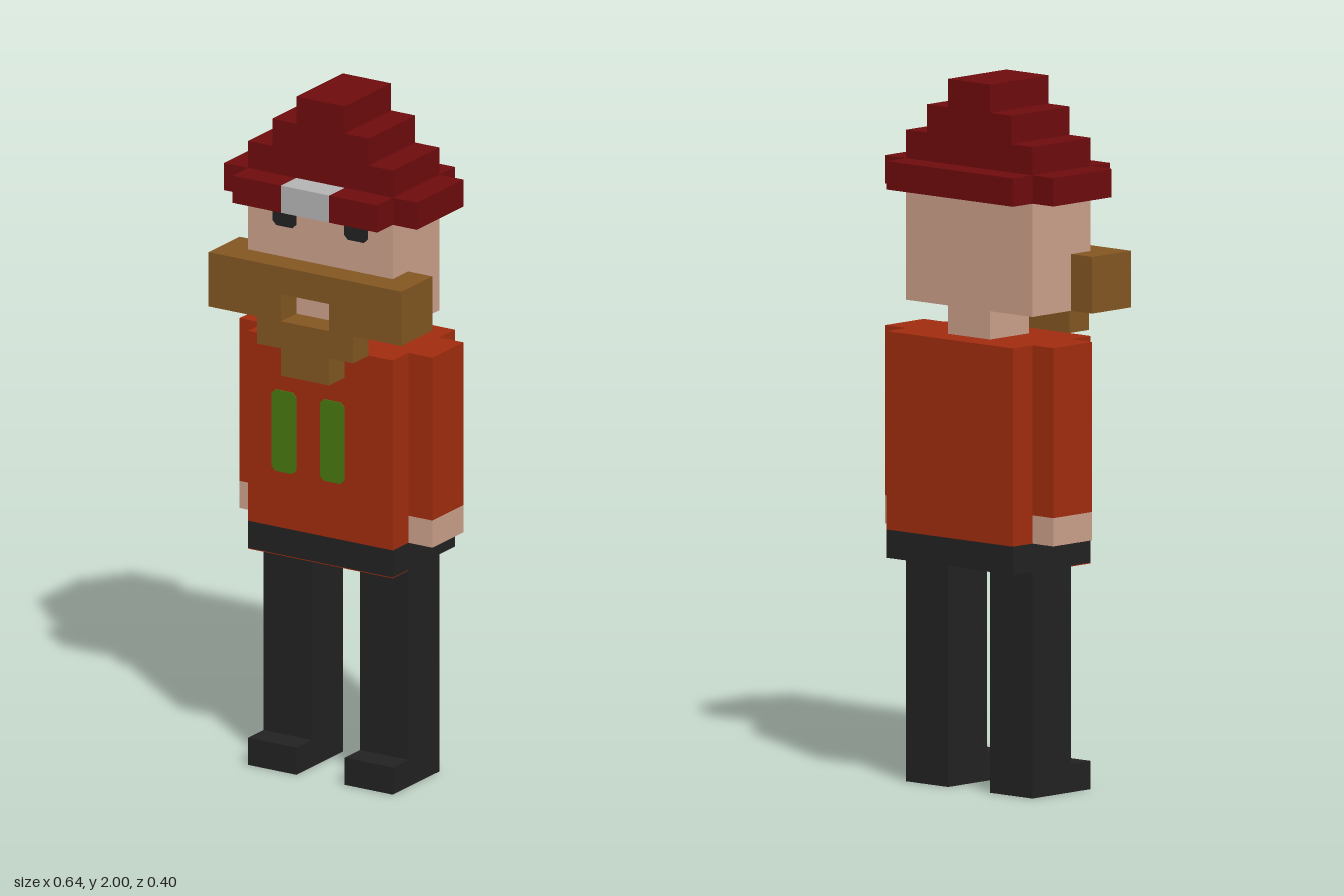
import * as THREE from 'three';

const U = 0.08; // one block

const material = (name, color) => {
  const m = new THREE.MeshStandardMaterial({ color });
  m.name = name;
  return m;
};

export function createModel() {
  const model = new THREE.Group();
  model.name = 'blockMan';
  const hatRed = material('hatRed', 0x6e0b0d);
  const skin = material('skin', 0xcb9f8a);
  const beardBrown = material('beardBrown', 0x825622);
  const sweaterOrange = material('sweaterOrange', 0xa02c0e);
  const trouserBlack = material('trouserBlack', 0x222222);
  const badgeGrey = material('badgeGrey', 0xb3b3b3);
  const stripeGreen = material('stripeGreen', 0x47770f);

  // Box given by its two corners, in blocks
  function box(name, mat, [x0, x1], [y0, y1], [z0, z1]) {
    const mesh = new THREE.Mesh(new THREE.BoxGeometry((x1 - x0) * U, (y1 - y0) * U, (z1 - z0) * U), mat);
    mesh.position.set((x0 + x1) / 2 * U, (y0 + y1) / 2 * U, (z0 + z1) / 2 * U);
    mesh.name = name;
    model.add(mesh);
  }

  // Thin plate with chamfered corners, lying on a front face at z
  function plate(name, mat, x0, x1, y0, y1, z, cut, cutTop) {
    const t = cutTop ? cut : 0;
    const pts = [[x0 + cut, y0], [x1 - cut, y0], [x1, y0 + cut], [x1, y1 - t], [x1 - t, y1], [x0 + t, y1], [x0, y1 - t], [x0, y0 + cut]];
    const shape = new THREE.Shape(pts.map(p => new THREE.Vector2(...p)));
    const mesh = new THREE.Mesh(new THREE.ExtrudeGeometry(shape, { depth: 0.003, bevelEnabled: false }), mat);
    mesh.position.z = z;
    mesh.name = name;
    model.add(mesh);
  }

  // Mirrored parts: legs, feet, arms, hands, eyes, beard
  for (const s of [1, -1]) {
    const side = s > 0 ? 'left' : 'right';
    const span = (a, b) => (s > 0 ? [a, b] : [-b, -a]);
    box(side + 'Leg', trouserBlack, span(1, 3), [0, 8], [-1.5, 0.5]);
    box(side + 'Foot', trouserBlack, span(1, 3), [0, 1], [0.5, 1.5]);
    box(side + 'Sleeve', sweaterOrange, span(3, 4), [10, 16], [-1.5, 0.5]);
    box(side + 'Hand', skin, span(3, 4), [9, 10], [-1.5, 0.5]);
    box(side + 'BeardSide', beardBrown, span(3, 4), [17, 19], [0.5, 1.5]);
    box(side + 'BeardCheek', beardBrown, span(1, 4), [17, 18], [1.5, 2.5]);
    const [ex0, ex1] = span(0.08, 0.157);
    plate(side + 'Eye', trouserBlack, ex0, ex1, 1.61, 1.68, 1.5 * U, 0.012, false);
    // Brim on either side of the badge
    box(side + 'BrimFront', hatRed, span(1, 3), [21, 22], [1.5, 2.5]);
  }

  // Body
  box('waistband', trouserBlack, [-3, 3], [8, 9], [-2.5, 1.5]);
  box('sweaterHem', sweaterOrange, [-3, 3], [7.97, 8], [0.5, 1.5]);
  box('sweater', sweaterOrange, [-3, 3], [9, 16], [-2.5, 1.5]);
  plate('chestStripe', stripeGreen, -0.16, -0.08, 0.885, 1.125, 1.5 * U, 0.012, true);
  plate('chestStripe', stripeGreen, 0, 0.08, 0.885, 1.125, 1.5 * U, 0.012, true);

  // Head and beard, leaving an opening for the mouth
  box('neck', skin, [-1, 1], [16, 17], [-1.5, 0.5]);
  box('head', skin, [-3, 3], [17, 21], [-1.5, 1.5]);
  box('moustache', beardBrown, [-4, 4], [18, 19], [1.5, 2.5]);
  box('beardChin', beardBrown, [-2, 2], [16, 17], [1.5, 2.5]);
  box('beardTip', beardBrown, [-1, 1], [15, 16], [1.5, 2.5]);

  // Hat
  box('brim', hatRed, [-4, 4], [21, 22], [-1.5, 1.5]);
  box('brimBack', hatRed, [-3, 3], [21, 22], [-2.5, -1.5]);
  box('badge', badgeGrey, [-1, 1], [21, 22], [1.5, 2.5]);
  for (let i = 0; i < 3; i++) {
    box('crownTier', hatRed, [i - 3, 3 - i], [22 + i, 23 + i], [-1.5, 1.5]);
  }

  return model;
}
